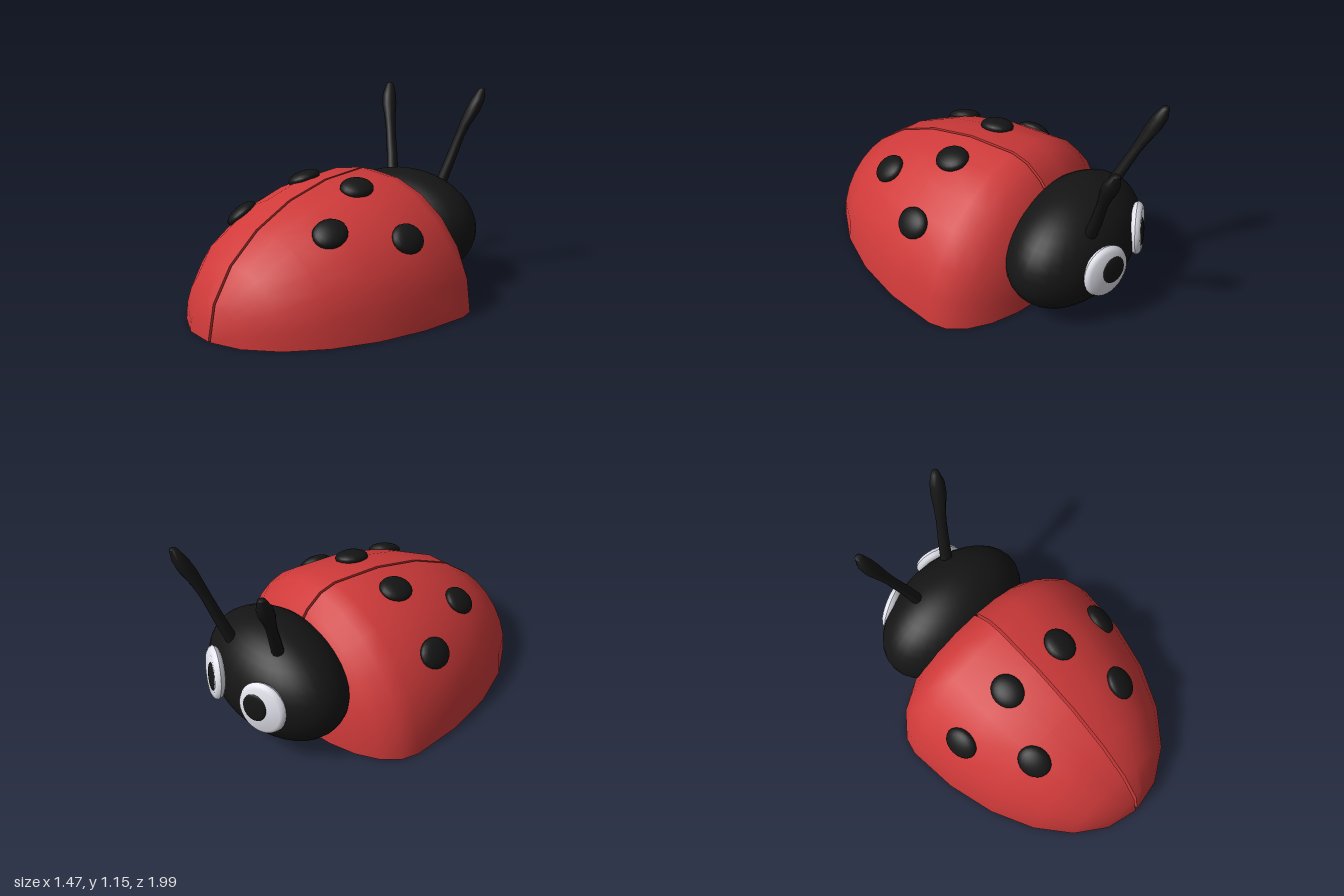
import * as THREE from 'three';
import { toCreasedNormals } from 'three/addons/utils/BufferGeometryUtils.js';

const mat = (color) => new THREE.MeshStandardMaterial({ color });
const red = mat(0xd03a3a), black = mat(0x151515), white = mat(0xe4e4ee);

// Body: a dome of radius R, long towards the tail and short towards the head
const R = 0.735, MID = -0.17, TAIL = 1.17, NOSE = 0.38, GAP = 0.008;

function add(parent, name, geometry, material) {
  const mesh = new THREE.Mesh(geometry, material);
  mesh.name = name;
  parent.add(mesh);
  return mesh;
}

// Skin a list of closed rings of [x, y, z] points
function loft(rings, crease, flip = false) {
  const pos = [];
  const n = rings[0].length;
  for (let i = 0; i < rings.length - 1; i++) {
    for (let k = 0; k < n; k++) {
      const k1 = (k + 1) % n;
      const a = rings[i][k], b = rings[i][k1], c = rings[i + 1][k1], d = rings[i + 1][k];
      const quad = flip ? [a, c, b, a, d, c] : [a, b, c, a, c, d];
      for (const p of quad) pos.push(...p);
    }
  }
  const g = new THREE.BufferGeometry();
  g.setAttribute('position', new THREE.Float32BufferAttribute(pos, 3));
  return toCreasedNormals(g, crease);
}

// One wing case: a closed quarter of the dome with flat inner wall and underside
function wingCase(side) {
  const rings = [];
  for (let i = 0; i <= 12; i++) {
    const t = -Math.PI / 2 + (i * Math.PI) / 12;
    const r = Math.cos(t), z = MID + Math.sin(t) * (t > 0 ? TAIL : NOSE);
    const ring = [[side * GAP, 0, z]];
    for (let k = 0; k <= 6; k++) {
      const a = (k * Math.PI) / 12;
      ring.push([side * (GAP + (R - GAP) * r * Math.cos(a)), R * r * Math.sin(a), z]);
    }
    rings.push(ring);
  }
  return loft(rings, 0.75, side < 0);
}

// Flattened dot lying on the dome at the given x and z
function addSpot(parent, x, z) {
  const u = (z - MID) / TAIL;
  const y = Math.sqrt(R * R * (1 - u * u) - x * x);
  const normal = new THREE.Vector3(x / R ** 2, y / R ** 2, (z - MID) / TAIL ** 2).normalize();
  const spot = add(parent, 'spot', new THREE.SphereGeometry(1, 20, 12), black);
  spot.scale.set(0.088, 0.042, 0.1);
  spot.position.set(x, y, z);
  spot.quaternion.setFromUnitVectors(new THREE.Vector3(0, 1, 0), normal);
}

// Round-edged white disc with a pupil set towards the middle of the face
function addEye(parent, name, position, yaw, side) {
  const eye = new THREE.Group();
  eye.name = name;
  const profile = [[0, -0.03], [0.125, -0.03], [0.145, -0.02], [0.155, 0],
    [0.147, 0.017], [0.128, 0.027], [0, 0.027]].map((p) => new THREE.Vector2(...p));
  const disc = toCreasedNormals(new THREE.LatheGeometry(profile, 28).rotateX(Math.PI / 2), 0.8);
  add(eye, 'eyeWhite', disc, white).scale.x = 0.9;
  const pupil = add(eye, 'pupil', new THREE.SphereGeometry(1, 20, 12), black);
  pupil.scale.set(0.07, 0.083, 0.014);
  pupil.position.set(side * 0.035, 0.005, 0.026);
  eye.position.set(...position);
  const facing = new THREE.Vector3(side * Math.sin(yaw), 0.1, -Math.cos(yaw));
  eye.lookAt(facing.add(eye.position));
  parent.add(eye);
}

// Feeler: thin stalk swelling to a club and narrowing at the tip
function antenna(points) {
  const radii = [0.036, 0.033, 0.03, 0.034, 0.045, 0.042, 0.022, 0];
  const curve = new THREE.CatmullRomCurve3(points.map((p) => new THREE.Vector3(...p)));
  const stops = [0, 0.25, 0.5, 0.62, 0.77, 0.88, 0.985, 1];
  const rings = stops.map((s, i) => {
    const c = curve.getPointAt(s);
    return Array.from({ length: 10 }, (_, k) => {
      const a = (k * Math.PI) / 5;
      return [c.x + radii[i] * Math.cos(a), c.y, c.z - radii[i] * Math.sin(a)];
    });
  });
  return loft(rings, 1);
}

export function createModel() {
  const model = new THREE.Group();
  model.name = 'ladybird';

  // Wing cases and spots
  for (const side of [1, -1]) {
    add(model, side > 0 ? 'leftWingCase' : 'rightWingCase', wingCase(side), red);
    for (const [x, z] of [[0.2, 0.1], [0.55, 0.09], [0.335, 0.46]]) addSpot(model, side * x, z);
  }

  // Head, partly sunk into the body
  const head = add(model, 'head', new THREE.SphereGeometry(1, 32, 20), black);
  head.scale.set(0.493, 0.335, 0.313);
  head.position.set(-0.022, 0.335, -0.585);
  head.rotation.y = 0.04;

  // Eyes, with the face turned slightly to one side
  addEye(model, 'leftEye', [0.133, 0.38, -0.888], 0.31, 1);
  addEye(model, 'rightEye', [-0.262, 0.38, -0.84], 0.45, -1);

  // Antennae
  add(model, 'leftAntenna', antenna([[0.115, 0.54, -0.765], [0.155, 0.72, -0.825],
    [0.2, 0.9, -0.88], [0.25, 1.05, -0.94], [0.27, 1.15, -0.975]]), black);
  add(model, 'rightAntenna', antenna([[-0.17, 0.58, -0.665], [-0.225, 0.75, -0.72],
    [-0.285, 0.9, -0.775], [-0.345, 1.05, -0.835], [-0.365, 1.15, -0.865]]), black);

  return model;
}
